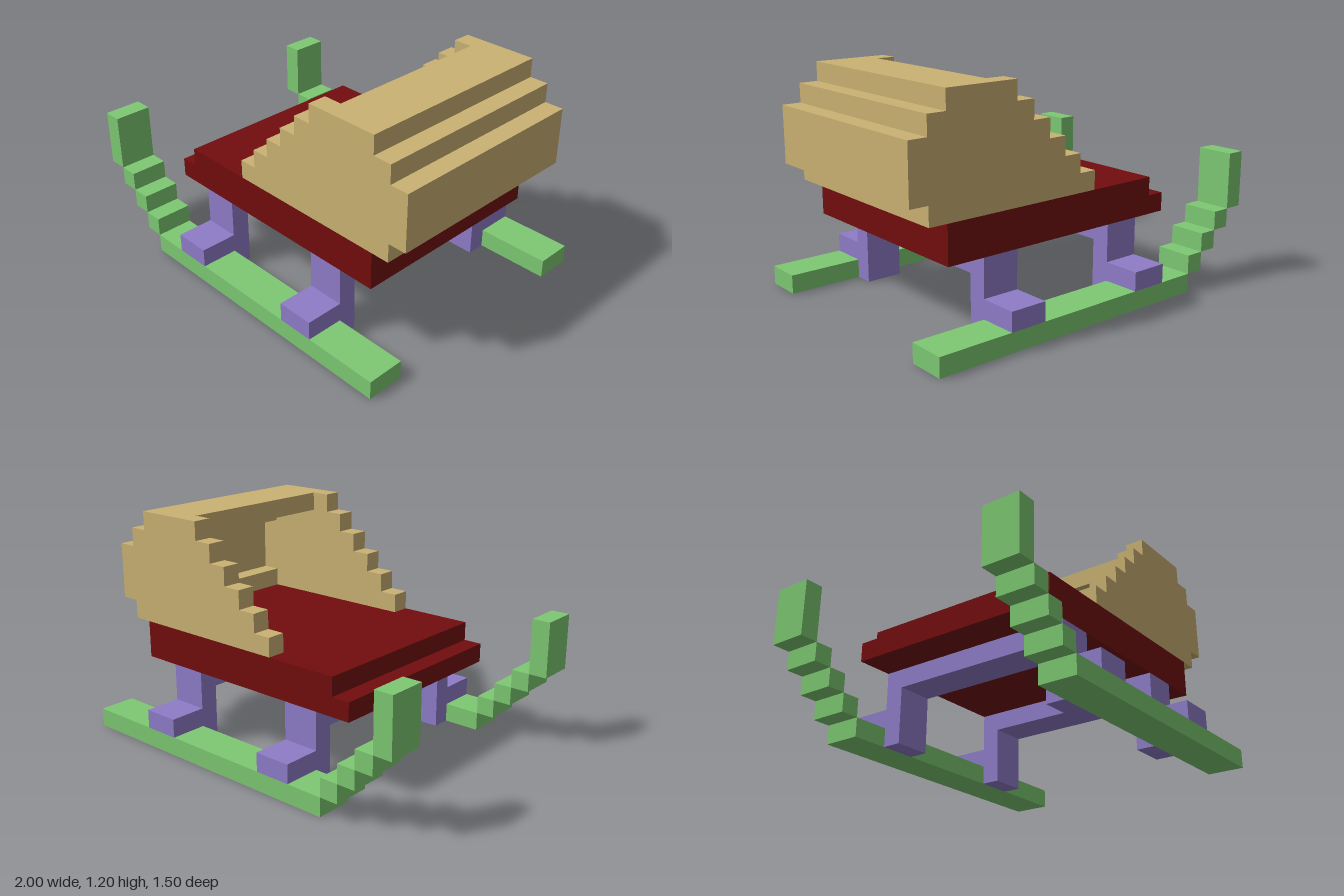
import * as THREE from 'three';

const paint = (name, color) => {
  const m = new THREE.MeshStandardMaterial({ color });
  m.name = name;
  return m;
};

export function createModel() {
  const green = paint('runner green', 0x7dc972);
  const purple = paint('strut purple', 0x8f7cc9);
  const red = paint('seat red', 0x720d0e);
  const tan = paint('shell tan', 0xcbb272);

  const model = new THREE.Group();
  model.name = 'sleigh';

  // Box from its limits on each axis
  const box = (parent, name, mat, [x0, x1], [y0, y1], [z0, z1]) => {
    const mesh = new THREE.Mesh(new THREE.BoxGeometry(x1 - x0, y1 - y0, z1 - z0), mat);
    mesh.position.set((x0 + x1) / 2, (y0 + y1) / 2, (z0 + z1) / 2);
    mesh.name = name;
    parent.add(mesh);
  };
  const group = (name) => {
    const g = new THREE.Group();
    g.name = name;
    model.add(g);
    return g;
  };
  // Z range mirrored to the given side
  const span = (side, a, b) => (side > 0 ? [a, b] : [-b, -a]);

  // Runners with a stepped curl at the tip
  for (const side of [1, -1]) {
    const runner = group(side > 0 ? 'frontRunner' : 'backRunner');
    const z = span(side, 0.55, 0.75);
    box(runner, 'runnerBlade', green, [-0.6, 1], [0, 0.1], z);
    for (let i = 0; i < 3; i++) {
      box(runner, 'curlStep', green, [-0.7 - i * 0.1, -0.6 - i * 0.1], [0.1 + i * 0.1, 0.2 + i * 0.1], z);
    }
    box(runner, 'curlTip', green, [-1, -0.9], [0.4, 0.7], z);
  }

  // Struts: crossbar, two legs and two feet resting on the runners
  for (const x0 of [-0.4, 0.4]) {
    const strut = group('strut');
    const x = [x0, x0 + 0.2];
    box(strut, 'crossbar', purple, x, [0.3, 0.4], [-0.55, 0.55]);
    for (const side of [1, -1]) {
      box(strut, 'leg', purple, x, [0, 0.3], span(side, 0.45, 0.55));
      box(strut, 'foot', purple, x, [0.1, 0.2], span(side, 0.55, 0.75));
    }
  }

  // Seat deck with a stepped nose
  const deck = group('deck');
  box(deck, 'deckBase', red, [-0.6, 0.8], [0.4, 0.5], [-0.55, 0.55]);
  box(deck, 'deckTop', red, [-0.5, 0.8], [0.5, 0.6], [-0.55, 0.55]);

  // Stair-edged side panels
  const shell = group('shell');
  const outline = [[-0.1, 0.6], [0.9, 0.6], [0.9, 0.7], [1, 0.7], [1, 1], [0.9, 1], [0.9, 1.1], [0.8, 1.1], [0.8, 1.2]];
  for (let i = 5; i >= 0; i--) {
    const x = -0.1 + i * 0.1;
    outline.push([x, 0.7 + i * 0.1], [x, 0.6 + i * 0.1]);
  }
  outline.pop();
  const profile = new THREE.Shape(outline.map(([x, y]) => new THREE.Vector2(x, y)));
  const panel = new THREE.ExtrudeGeometry(profile, { depth: 0.1, bevelEnabled: false });
  for (const z of [0.45, -0.55]) {
    const mesh = new THREE.Mesh(panel, tan);
    mesh.position.z = z;
    mesh.name = 'sidePanel';
    shell.add(mesh);
  }

  // Hollow backrest: stepped back wall and top ledge between the panels
  const inner = [-0.45, 0.45];
  box(shell, 'backLower', tan, [0.8, 0.9], [0.6, 0.7], inner);
  box(shell, 'backWall', tan, [0.9, 1], [0.7, 1], inner);
  box(shell, 'backUpper', tan, [0.8, 0.9], [1, 1.1], inner);
  box(shell, 'topLedge', tan, [0.5, 0.8], [1.1, 1.2], inner);

  return model;
}
